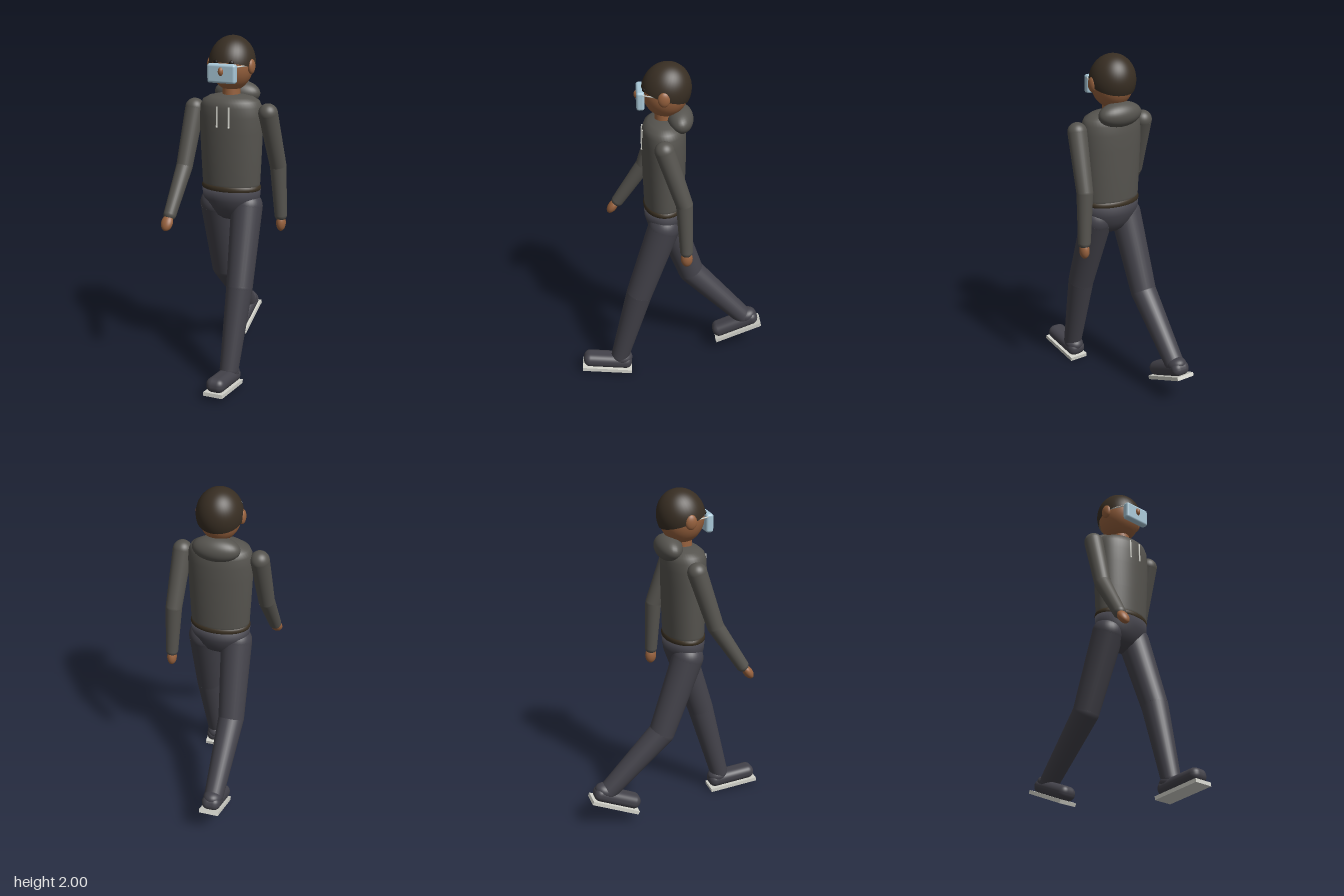
import * as THREE from 'three';
import { RoundedBoxGeometry } from 'three/addons/geometries/RoundedBoxGeometry.js';

const mat = (name, color) => {
  const m = new THREE.MeshStandardMaterial({ color });
  m.name = name;
  return m;
};

export function createModel() {
  const hoodie = mat('hoodie grey', 0x56544f);
  const trousers = mat('trouser charcoal', 0x43424a);
  const skin = mat('skin', 0x98623e);
  const hair = mat('hair brown', 0x382e23);
  hair.side = THREE.DoubleSide;
  const leather = mat('belt brown', 0x3a3022);
  const cloth = mat('mask blue', 0xa9c8d8);
  const white = mat('off white', 0xd4d4cc);
  const dark = mat('eye dark', 0x1e1814);

  const model = new THREE.Group();
  model.name = 'walkingPerson';

  const add = (name, geo, material, pos = [0, 0, 0], parent = model) => {
    const mesh = new THREE.Mesh(geo, material);
    mesh.name = name;
    mesh.position.set(...pos);
    parent.add(mesh);
    return mesh;
  };
  const ellipsoid = (name, material, pos, radii, parent = model) => {
    const mesh = add(name, new THREE.SphereGeometry(1, 32, 24), material, pos, parent);
    mesh.scale.set(...radii);
    return mesh;
  };
  const UP = new THREE.Vector3(0, 1, 0);
  // Tapered tube from a to b
  const segment = (name, material, a, b, ra, rb, parent = model) => {
    const A = new THREE.Vector3(...a), B = new THREE.Vector3(...b);
    const dir = B.clone().sub(A);
    const mesh = add(name, new THREE.CylinderGeometry(rb, ra, dir.length(), 28), material,
      A.clone().add(B).multiplyScalar(0.5).toArray(), parent);
    mesh.quaternion.setFromUnitVectors(UP, dir.normalize());
    return mesh;
  };
  // Chain of tapered tubes with round joints
  const limb = (name, material, points, radii) => {
    const g = new THREE.Group();
    g.name = name;
    model.add(g);
    points.forEach((p, i) => {
      ellipsoid(name + 'Joint', material, p, [radii[i], radii[i], radii[i]], g);
      if (i) segment(name + 'Section', material, points[i - 1], p, radii[i - 1], radii[i], g);
    });
  };

  // Torso
  const profile = [[0.001, 1.11], [0.168, 1.11], [0.174, 1.16], [0.181, 1.3], [0.188, 1.46], [0.188, 1.55],
    [0.183, 1.605], [0.168, 1.637], [0.13, 1.658], [0.07, 1.672], [0.001, 1.675]];
  const torso = add('torso', new THREE.LatheGeometry(profile.map(p => new THREE.Vector2(...p)), 48),
    hoodie, [0, 0, 0.05]);
  torso.scale.z = 0.67;

  // Hood resting on the back
  ellipsoid('hood', hoodie, [0, 1.665, -0.04], [0.138, 0.073, 0.076]).rotation.x = 0.2;

  // Drawstrings
  for (const x of [-0.036, 0.036]) {
    segment('drawstring', white, [x, 1.615, 0.172], [x, 1.5, 0.176], 0.005, 0.005);
    ellipsoid('drawstringEnd', white, [x, 1.5, 0.176], [0.006, 0.008, 0.006]);
  }

  // Belt and pelvis
  const belt = add('belt', new THREE.TorusGeometry(0.157, 0.022, 16, 48), leather, [0, 1.132, 0.05]);
  belt.rotation.x = Math.PI / 2;
  belt.scale.set(1, 0.68, 1);
  const hips = [[0.001, 0.93], [0.06, 0.94], [0.11, 0.965], [0.15, 1.01], [0.172, 1.06], [0.178, 1.12], [0.001, 1.125]];
  add('pelvis', new THREE.LatheGeometry(hips.map(p => new THREE.Vector2(...p)), 48),
    trousers, [0, 0, 0.05]).scale.z = 0.67;

  // Legs mid stride
  limb('leftLeg', trousers, [[0.1, 1.02, 0.055], [0.117, 0.575, 0.205], [0.105, 0.11, 0.33]], [0.092, 0.077, 0.055]);
  limb('rightLeg', trousers, [[-0.1, 1.02, 0.045], [-0.117, 0.57, -0.12], [-0.105, 0.23, -0.45]], [0.092, 0.077, 0.057]);

  // Shoes, built level and then pitched
  const shoe = (name, pos, pitch) => {
    const g = new THREE.Group();
    g.name = name;
    g.position.set(...pos);
    g.rotation.x = pitch;
    model.add(g);
    add('sole', new THREE.BoxGeometry(0.116, 0.022, 0.304), white, [0, 0.011, 0], g);
    add('upper', new RoundedBoxGeometry(0.112, 0.085, 0.3, 5, 0.04), trousers, [0, 0.06, 0], g);
    ellipsoid('ankleCollar', trousers, [0, 0.085, -0.085], [0.056, 0.045, 0.065], g);
  };
  shoe('leftShoe', [0.104, 0.018, 0.414], -0.105);
  shoe('rightShoe', [-0.104, 0.121, -0.424], 0.4);

  // Arms and hands
  limb('leftArm', hoodie, [[0.226, 1.575, 0.055], [0.25, 1.25, -0.053], [0.265, 0.955, -0.065]], [0.056, 0.048, 0.037]);
  limb('rightArm', hoodie, [[-0.226, 1.575, 0.055], [-0.247, 1.25, 0.16], [-0.266, 1.0, 0.32]], [0.056, 0.048, 0.037]);
  ellipsoid('leftHand', skin, [0.266, 0.905, -0.067], [0.028, 0.05, 0.034]);
  ellipsoid('rightHand', skin, [-0.269, 0.958, 0.353], [0.035, 0.05, 0.027]).rotation.x = -0.6;

  // Neck and head
  segment('neck', skin, [0, 1.62, 0.05], [0, 1.74, 0.05], 0.052, 0.05);
  ellipsoid('head', skin, [0, 1.835, 0.04], [0.12, 0.147, 0.13]);
  const cap = add('hair', new THREE.SphereGeometry(1, 40, 24, 0, Math.PI * 2, 0, 1.73), hair, [0, 1.845, 0.035]);
  cap.scale.set(0.132, 0.155, 0.139);
  cap.rotation.x = -0.3;

  // Face mask with the nose showing in front
  add('faceMask', new RoundedBoxGeometry(0.17, 0.108, 0.045, 4, 0.015), cloth, [0, 1.804, 0.18]);
  ellipsoid('nose', skin, [0, 1.817, 0.195], [0.017, 0.026, 0.021]);

  // Paired face parts
  for (const s of [-1, 1]) {
    ellipsoid('ear', skin, [s * 0.124, 1.833, 0.053], [0.019, 0.043, 0.034]);
    ellipsoid('eye', dark, [s * 0.045, 1.862, 0.157], [0.016, 0.014, 0.012]);
    segment('maskStrap', white, [s * 0.08, 1.842, 0.17], [s * 0.128, 1.842, 0.06], 0.004, 0.004);
  }
  return model;
}
